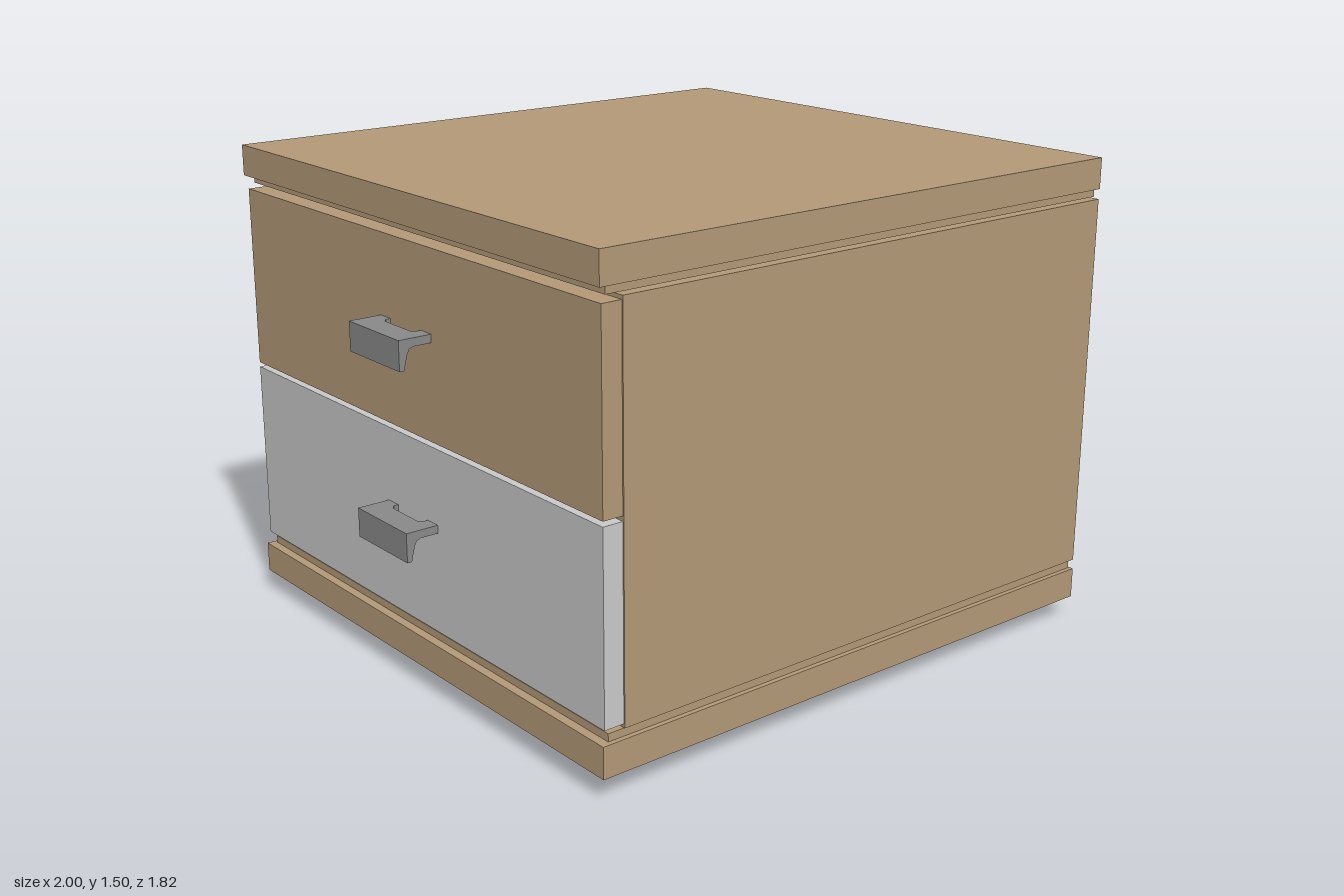
import * as THREE from 'three';

const wood = new THREE.MeshStandardMaterial({ color: 0xb39977 });
wood.name = 'wood';
const paleGrey = new THREE.MeshStandardMaterial({ color: 0xc9c9ca });
paleGrey.name = 'paleGrey';
const metal = new THREE.MeshStandardMaterial({ color: 0x898989 });
metal.name = 'metal';

// Box given by its min and max on each axis
function box(name, material, [x0, x1], [y0, y1], [z0, z1]) {
  const mesh = new THREE.Mesh(new THREE.BoxGeometry(x1 - x0, y1 - y0, z1 - z0), material);
  mesh.name = name;
  mesh.position.set((x0 + x1) / 2, (y0 + y1) / 2, (z0 + z1) / 2);
  return mesh;
}

function polygon(points) {
  return new THREE.Shape(points.map(([x, y]) => new THREE.Vector2(x, y)));
}

// Pull with a notched top plate and a tapered lip hanging from its outer edge
function createHandle(topY) {
  const handle = new THREE.Group();
  handle.name = 'handle';

  const plan = polygon([
    [-1, -0.132], [-0.893, -0.132], [-0.893, -0.08], [-0.91, -0.08], [-0.922, -0.065],
    [-0.922, 0.065], [-0.91, 0.08], [-0.893, 0.08], [-0.893, 0.132], [-1, 0.132],
  ]);
  const plateGeometry = new THREE.ExtrudeGeometry(plan, { depth: 0.025, bevelEnabled: false });
  plateGeometry.rotateX(Math.PI / 2);
  const plate = new THREE.Mesh(plateGeometry, metal);
  plate.name = 'handlePlate';

  const profile = polygon([
    [-1, -0.024], [-1, -0.09], [-0.985, -0.09], [-0.974, -0.045], [-0.966, -0.03], [-0.95, -0.024],
  ]);
  const lipGeometry = new THREE.ExtrudeGeometry(profile, { depth: 0.264, bevelEnabled: false });
  lipGeometry.translate(0, 0, -0.132);
  const lip = new THREE.Mesh(lipGeometry, metal);
  lip.name = 'handleLip';

  handle.add(plate, lip);
  handle.position.set(0, topY, -0.003);
  return handle;
}

export function createModel() {
  const model = new THREE.Group();
  model.name = 'bedsideCabinet';

  // Slabs, recessed spacers and the cabinet body
  const slabX = [-0.905, 0.997], slabZ = [-0.912, 0.912];
  const spacerX = [-0.877, 0.99], spacerZ = [-0.897, 0.897];
  model.add(
    box('topSlab', wood, slabX, [1.4, 1.496], slabZ),
    box('topSpacer', wood, spacerX, [1.375, 1.4], spacerZ),
    box('body', wood, [-0.83, 1], [0.193, 1.368], [-0.907, 0.908]),
    box('bottomSpacer', wood, spacerX, [0.164, 0.188], spacerZ),
    box('bottomSlab', wood, slabX, [0.068, 0.164], slabZ),
  );

  // Drawer fronts with their handles
  model.add(
    box('upperDrawer', wood, [-0.895, -0.831], [0.79, 1.357], [-0.905, 0.905]),
    box('lowerDrawer', paleGrey, [-0.895, -0.831], [0.205, 0.775], [-0.905, 0.905]),
    createHandle(1.11),
    createHandle(0.543),
  );

  // Slightly oval disc feet
  for (const x of [-0.702, 0.775]) {
    for (const z of [-0.7, 0.7]) {
      const foot = new THREE.Mesh(new THREE.CylinderGeometry(1, 1, 0.07, 32), metal);
      foot.name = 'foot';
      foot.scale.set(0.121, 1, 0.105);
      foot.position.set(x, 0.035, z);
      model.add(foot);
    }
  }

  return model;
}
